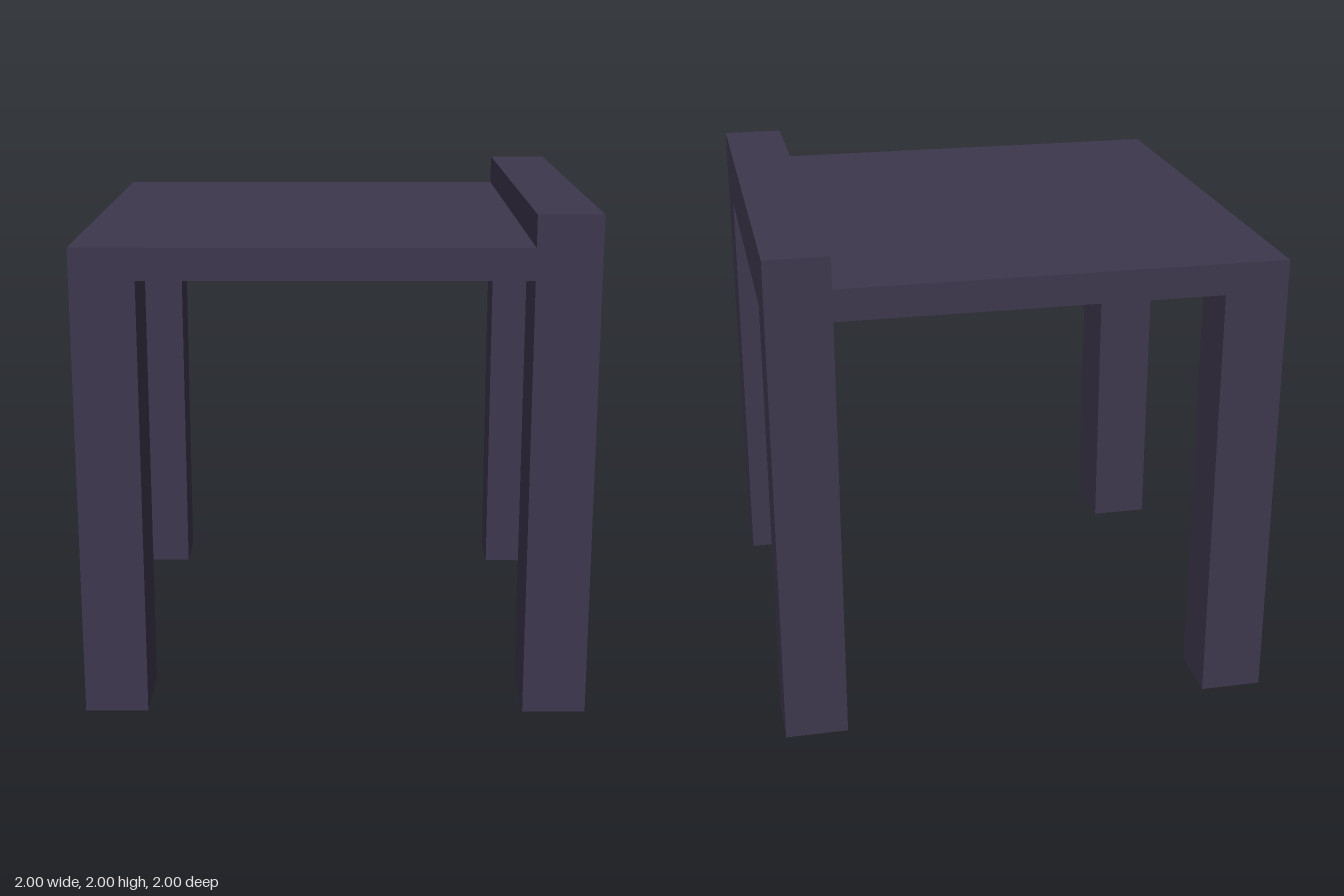
import * as THREE from 'three';

export function createModel() {
  const group = new THREE.Group();
  group.name = 'table';
  const darkPurple = new THREE.MeshStandardMaterial({ color: 0x3e374e });
  darkPurple.name = 'darkPurple';

  // Box given by its min and max corners
  function box(name, [x0, y0, z0], [x1, y1, z1]) {
    const mesh = new THREE.Mesh(new THREE.BoxGeometry(x1 - x0, y1 - y0, z1 - z0), darkPurple);
    mesh.position.set((x0 + x1) / 2, (y0 + y1) / 2, (z0 + z1) / 2);
    mesh.name = name;
    group.add(mesh);
  }

  const under = 1.75; // underside of the top

  // Top slab and the raised rail along its left side
  box('tabletop', [-1, under, -1], [0.75, 1.875, 1]);
  box('sideRail', [0.75, under, -1], [1, 2, 1]);

  // Four legs; the front pair is slightly deeper than the back pair
  for (const [side, x] of [['Right', -1], ['Left', 0.75]]) {
    box('front' + side + 'Leg', [x, 0, 0.6875], [x + 0.25, under, 1]);
    box('back' + side + 'Leg', [x, 0, -1], [x + 0.25, under, -0.75]);
  }

  return group;
}
